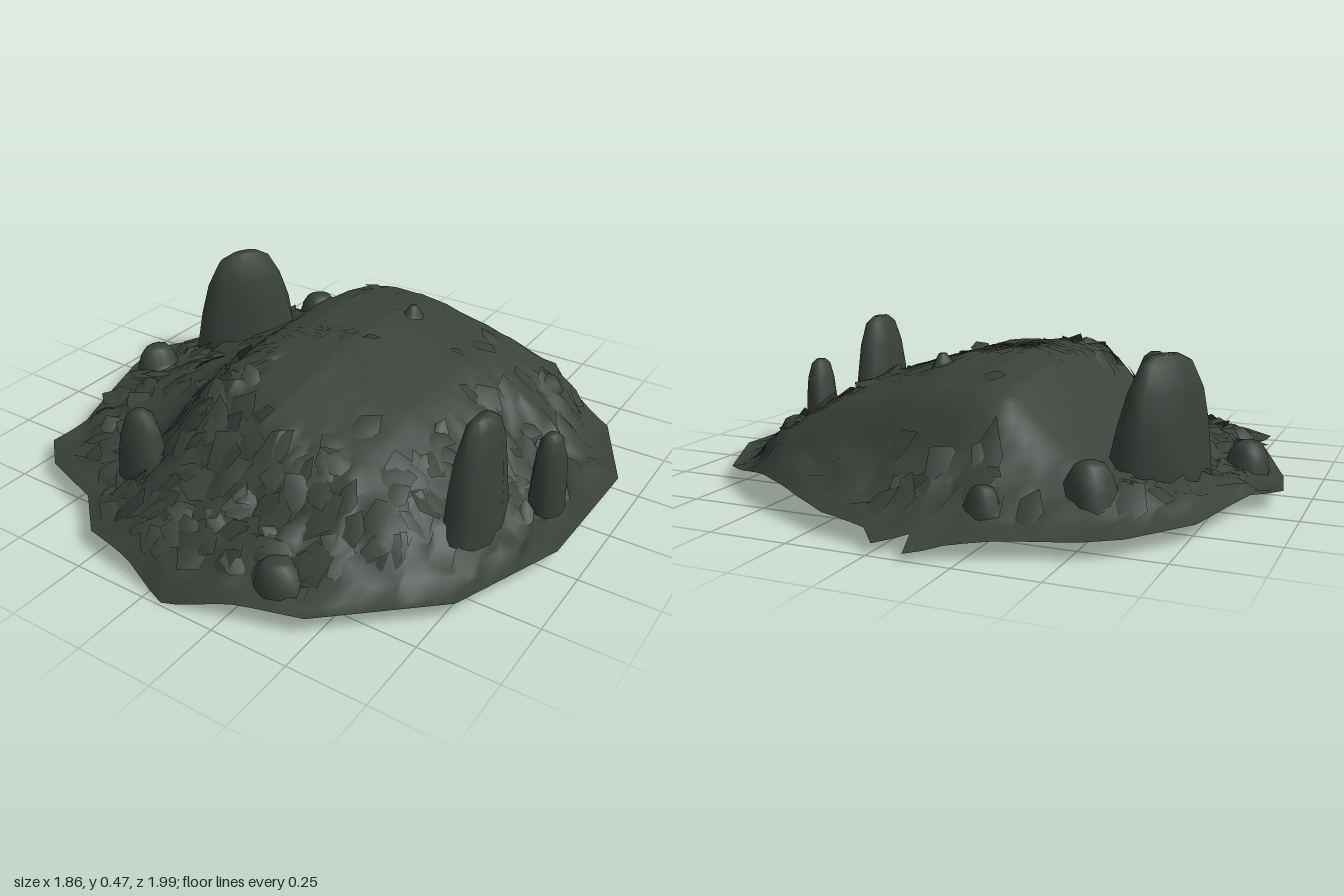
import * as THREE from 'three';
import { mergeVertices, mergeGeometries } from 'three/addons/utils/BufferGeometryUtils.js';

// Rim of the mound as x, z pairs
const RIM = [[-0.11, -1], [-0.09, -0.92], [0, -0.97], [0.05, -0.92], [0.21, -0.88], [0.48, -0.73],
  [0.78, -0.53], [0.93, -0.24], [0.92, 0.22], [0.78, 0.59], [0.47, 0.87], [0.06, 0.99], [-0.1, 0.94],
  [-0.29, 0.9], [-0.42, 0.78], [-0.65, 0.7], [-0.76, 0.6], [-0.75, 0.45], [-0.9, 0.05], [-0.93, -0.12],
  [-0.85, -0.22], [-0.77, -0.55], [-0.63, -0.75], [-0.53, -0.82], [-0.2, -0.94]];

// Height profiles across (x) and along (z) the mound
const ACROSS = [[-0.93, 0], [-0.8, 0.06], [-0.6, 0.23], [-0.45, 0.38], [-0.35, 0.55], [-0.27, 0.74], [-0.2, 0.93],
  [-0.1, 1], [0.08, 0.98], [0.4, 0.73], [0.55, 0.5], [0.62, 0.32], [0.75, 0.08], [0.93, 0]];
const ALONG = [[-1, 0], [-0.8, 0.13], [-0.66, 0.42], [-0.6, 0.66], [-0.54, 0.82], [-0.4, 0.92], [-0.2, 1],
  [0.2, 0.98], [0.4, 0.88], [0.5, 0.79], [0.6, 0.6], [0.7, 0.35], [0.83, 0.2], [1, 0]];

const { smoothstep, lerp } = THREE.MathUtils;

function profile(points, v) {
  for (let i = 1; i < points.length; i++) {
    const [a, ya] = points[i - 1], [b, yb] = points[i];
    if (v <= b) return ya + (yb - ya) * Math.max(0, (v - a) / (b - a));
  }
  return 0;
}

function makeRandom(seed) {
  return () => (seed = (seed * 16807) % 2147483647) / 2147483647;
}

// Smooth pseudo-noise in -1..1
const noise = (x, y, z) => (Math.sin(x * 31 + 2 * Math.sin(z * 23)) + Math.sin(z * 37 + y * 29 + 2 * Math.sin(x * 19))) / 2;

// How broken the ground is: rough front and flanks, smooth crown
const roughness = (x, z) => Math.max(0.08,
  smoothstep(z, 0.4, 0.6),
  smoothstep(Math.abs(x + 0.03), 0.45, 0.65),
  smoothstep(-z, 0.5, 0.75) * 0.6,
  smoothstep(z, 0.1, 0.4) * smoothstep(-Math.abs(x + 0.15), -0.12, -0.03));

// Ground height, flattening out to the rim with drooping front and back tips
function height(x, z) {
  const base = 0.05 - 0.05 * smoothstep(z, 0.92, 0.99) - 0.03 * smoothstep(-z, 0.88, 1);
  const edge = 1 - smoothstep(Math.hypot(x / 0.93, z / 0.97), 0.84, 1);
  // The left shoulder falls away earlier towards the front
  const early = 0.15 * smoothstep(-x, 0.15, 0.4) * smoothstep(z, 0, 0.3);
  return base + 0.38 * edge * profile(ACROSS, x) * profile(ALONG, z + early);
}

// Recompute smooth normals with shared vertices
function smooth(geometry) {
  geometry.deleteAttribute('uv');
  geometry.deleteAttribute('normal');
  const merged = mergeVertices(geometry, 1e-4);
  merged.computeVertexNormals();
  return merged;
}

// Open crumpled shell of ground: rings that turn from the jagged rim to ovals
function moundGeometry() {
  const rim = [];
  RIM.forEach(([x, z], i) => {
    const [nx, nz] = RIM[(i + 1) % RIM.length];
    const steps = Math.max(1, Math.round(Math.hypot(nx - x, nz - z) / 0.055));
    for (let k = 0; k < steps; k++) rim.push([lerp(x, nx, k / steps), lerp(z, nz, k / steps)]);
  });
  const random = makeRandom(97);
  const rings = 28, n = rim.length, position = [], index = [];
  for (let r = 0; r <= rings; r++) {
    const t = 1 - r / rings;
    rim.forEach(([rx, rz], i) => {
      const angle = i / n * Math.PI * 2 - 0.11, blend = t ** 3;
      const cx = t * lerp(0.9 * Math.sin(angle), rx, blend);
      const cz = t * lerp(-0.93 * Math.cos(angle), rz, blend);
      // Random sideways shifts and bumps fold the rough zones
      const rough = r === 0 || r === rings ? 0 : roughness(cx, cz) * Math.min(1, r / 3);
      const x = cx + rough * (random() - 0.5) * 0.045;
      const z = cz + rough * (random() - 0.5) * 0.045;
      const bump = rough * (0.012 * noise(x, 0, z) + 0.045 * (random() - 0.5));
      position.push(x, Math.max(0, height(x, z) + bump), z);
    });
  }
  for (let r = 0; r < rings; r++) {
    for (let i = 0; i < n; i++) {
      const a = r * n + i, b = r * n + (i + 1) % n;
      index.push(a, a + n, b);
      if (r < rings - 1) index.push(b, a + n, b + n);
    }
  }
  const geometry = new THREE.BufferGeometry();
  geometry.setAttribute('position', new THREE.Float32BufferAttribute(position, 3));
  geometry.setIndex(index);
  return smooth(geometry);
}

// Blunt standing stone, turned about y, whose foot follows the ground
function rockGeometry(x, z, rx, rz, top, turn = 0) {
  const outline = [[1, 0], [0.95, 0.25], [0.86, 0.5], [0.72, 0.75], [0.5, 0.94], [0.25, 1], [0, 1]];
  const geometry = new THREE.LatheGeometry(outline.map(p => new THREE.Vector2(...p)), 10);
  const p = geometry.attributes.position, bottom = 0.05;
  for (let i = 0; i < p.count; i++) {
    const k = 1 + 0.1 * noise(p.getX(i) * 0.1 + x, p.getY(i) * 0.1, p.getZ(i) * 0.1 + z);
    p.setXYZ(i, p.getX(i) * rx * k, bottom + p.getY(i) * (top - bottom), p.getZ(i) * rz * k);
  }
  geometry.rotateY(turn).translate(x, 0, z);
  for (let i = 0; i < p.count; i++) {
    p.setY(i, Math.max(p.getY(i), height(p.getX(i), p.getZ(i)) - 0.004));
  }
  return smooth(geometry);
}

// Jagged folded flakes, one edge buried and the other standing proud of the slope
function rubbleGeometry() {
  const random = makeRandom(4711), flakes = [];
  while (flakes.length < 190) {
    const x = random() * 1.6 - 0.8, z = random() * 1.76 - 0.88;
    const skip = random() > roughness(x, z) * (z > 0.3 ? 1 : 0.6);
    if (skip || Math.hypot(x / 0.8, z / 0.88) > 1) continue;
    const flake = new THREE.CircleGeometry(1, 5).rotateX(-Math.PI / 2);
    const p = flake.attributes.position;
    const size = 0.04 + random() * 0.035, stretch = 0.5 + random() * 0.4, turn = random() * 6.28;
    const tilt = 0.01 + random() * 0.02;
    for (let i = 0; i < p.count; i++) p.setY(i, p.getX(i) * tilt + (i === 0 ? 0.015 : 0.003));
    flake.scale(size, 1, size * stretch).rotateY(turn).translate(x, 0, z);
    for (let i = 0; i < p.count; i++) {
      p.setY(i, p.getY(i) + height(p.getX(i), p.getZ(i)));
    }
    flakes.push(smooth(flake));
  }
  return mergeGeometries(flakes);
}

export function createModel() {
  const group = new THREE.Group();
  const stone = new THREE.MeshStandardMaterial({ color: 0x39413a, side: THREE.DoubleSide });
  stone.name = 'darkMossyStone';
  const add = (name, geometry) => {
    const mesh = new THREE.Mesh(geometry, stone);
    mesh.name = name;
    group.add(mesh);
  };

  add('mound', moundGeometry());
  add('rubble', rubbleGeometry());

  // Standing stones and boulders: x, z, radius x, radius z, top, turn
  const rocks = {
    tallLeftRock: [-0.6, -0.29, 0.095, 0.2, 0.47, -0.5],
    tallRightRock: [0.68, 0.28, 0.075, 0.16, 0.46],
    smallRightRock: [0.8, 0.04, 0.06, 0.075, 0.32],
    frontRock: [-0.31, 0.63, 0.085, 0.08, 0.33],
    lowSideRock: [-0.79, 0.03, 0.075, 0.09, 0.16],
    backLeftBoulder: [-0.48, -0.6, 0.085, 0.09, 0.21],
    backRightBoulder: [0.57, -0.45, 0.08, 0.08, 0.22],
    backSpur: [-0.24, -0.78, 0.06, 0.05, 0.16],
    frontBoulder: [0.33, 0.8, 0.08, 0.07, 0.14],
    crownStone: [0.12, -0.3, 0.05, 0.06, 0.43],
  };
  for (const [name, values] of Object.entries(rocks)) add(name, rockGeometry(...values));

  return group;
}
